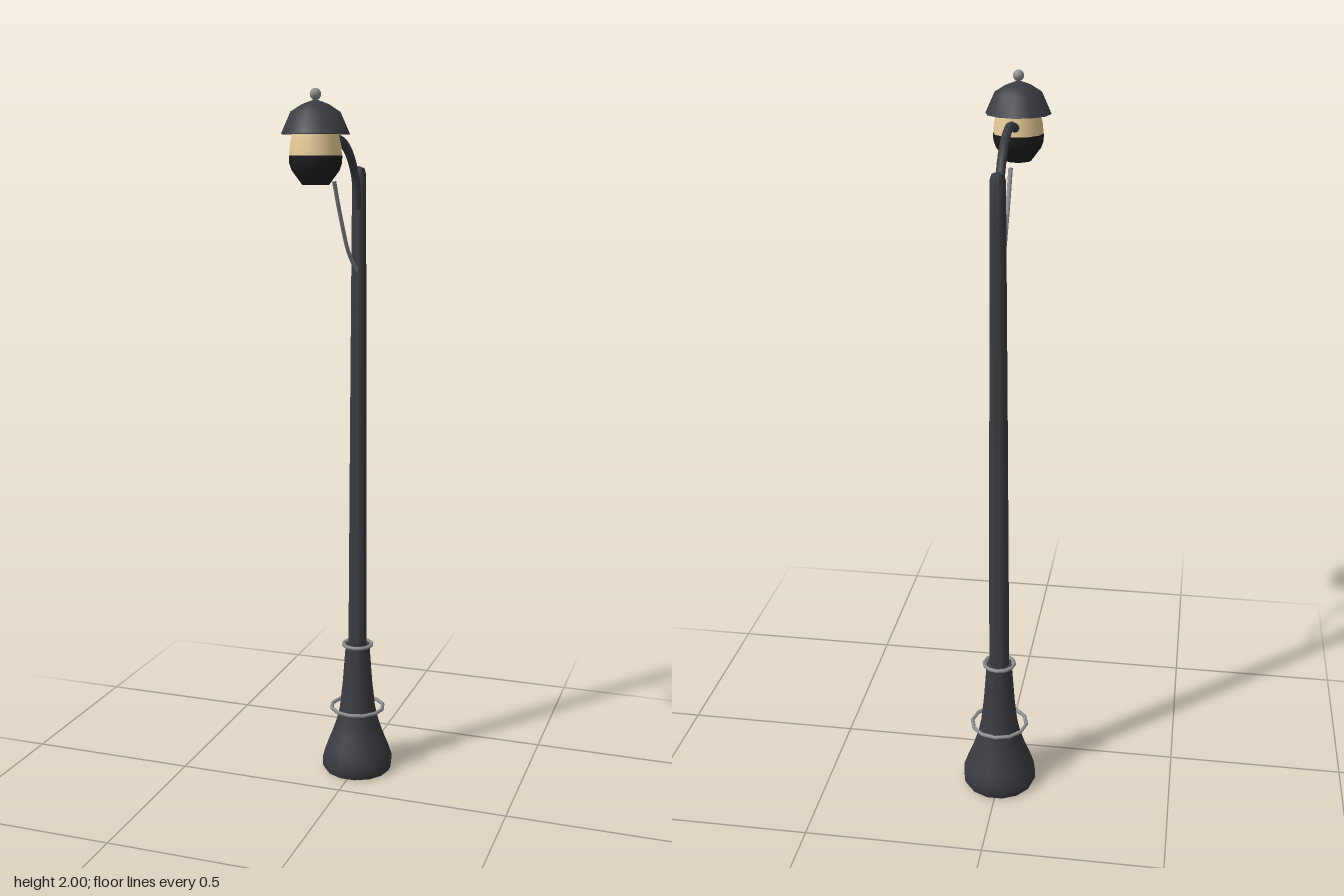
import * as THREE from 'three';
import { toCreasedNormals } from 'three/addons/utils/BufferGeometryUtils.js';

const POLE_Z = -0.173, LAMP_Z = 0.186;

const material = (color) => new THREE.MeshStandardMaterial({ color });
const iron = material(0x3a3c42);
const darkIron = material(0x1d1e21);
const steel = material(0x8d8f92);
const glass = material(0xe8cd98);

export function createModel() {
  const model = new THREE.Group();
  model.name = 'streetLamp';

  const add = (name, geometry, mat, y = 0, z = 0) => {
    const mesh = new THREE.Mesh(geometry, mat);
    mesh.name = name;
    mesh.position.set(0, y, z);
    model.add(mesh);
    return mesh;
  };
  // Turned part from [radius, height] pairs, listed bottom to top
  const lathe = (points, sides, crease = 0.7) => toCreasedNormals(
    new THREE.LatheGeometry(points.map(([r, y]) => new THREE.Vector2(r, y)), sides, Math.PI / 2), crease);
  // Bent rod in the x = 0 plane from [height, depth] pairs
  const rod = (points, radius, steps, sides) => new THREE.TubeGeometry(
    new THREE.CatmullRomCurve3(points.map(([y, z]) => new THREE.Vector3(0, y, z))), steps, radius, sides);

  // Flared foot
  add('base', lathe([
    [0, 0.003], [0.1, 0.003], [0.106, 0.015], [0.106, 0.04], [0.094, 0.075],
    [0.076, 0.12], [0.063, 0.16], [0.054, 0.2], [0.045, 0.28], [0.036, 0.4], [0, 0.4],
  ], 14), iron, 0, POLE_Z);

  // Tapering post with a rounded tip
  add('pole', lathe([
    [0.029, 0.38], [0.025, 1.1], [0.021, 1.7], [0.02, 1.785], [0.016, 1.8], [0, 1.806],
  ], 10), iron, 0, POLE_Z);

  // Loose rings around the foot
  for (const [name, radius, y] of [['lowerRing', 0.079, 0.2], ['upperRing', 0.043, 0.4]]) {
    add(name, new THREE.TorusGeometry(radius, 0.0055, 6, 12), steel, y, POLE_Z).rotation.x = Math.PI / 2;
  }

  // Curved arm carrying the lantern
  add('arm', rod([
    [1.69, -0.16], [1.775, -0.14], [1.84, -0.085], [1.872, -0.02], [1.878, 0.035], [1.868, 0.09], [1.855, 0.135],
  ], 0.012, 18, 8), iron);

  // Thin brace below the arm, free at its upper end
  add('brace', rod([
    [1.52, -0.155], [1.545, -0.115], [1.585, -0.07], [1.64, -0.032], [1.705, 0.008], [1.77, 0.043],
  ], 0.006, 10, 6), steel);

  // Lantern
  add('lanternBowl', lathe([
    [0, 1.762], [0.035, 1.762], [0.062, 1.798], [0.068, 1.815], [0.069, 1.835], [0, 1.835],
  ], 12), darkIron, 0, LAMP_Z);
  add('lanternGlass', lathe([
    [0.068, 1.834], [0.066, 1.86], [0.059, 1.892],
  ], 12), glass, 0, LAMP_Z);
  add('lanternCap', lathe([
    [0, 1.887], [0.089, 1.887], [0.064, 1.942], [0.035, 1.96], [0, 1.973],
  ], 12), iron, 0, LAMP_Z);
  add('finial', new THREE.SphereGeometry(0.015, 10, 8), steel, 1.985, LAMP_Z);

  return model;
}
